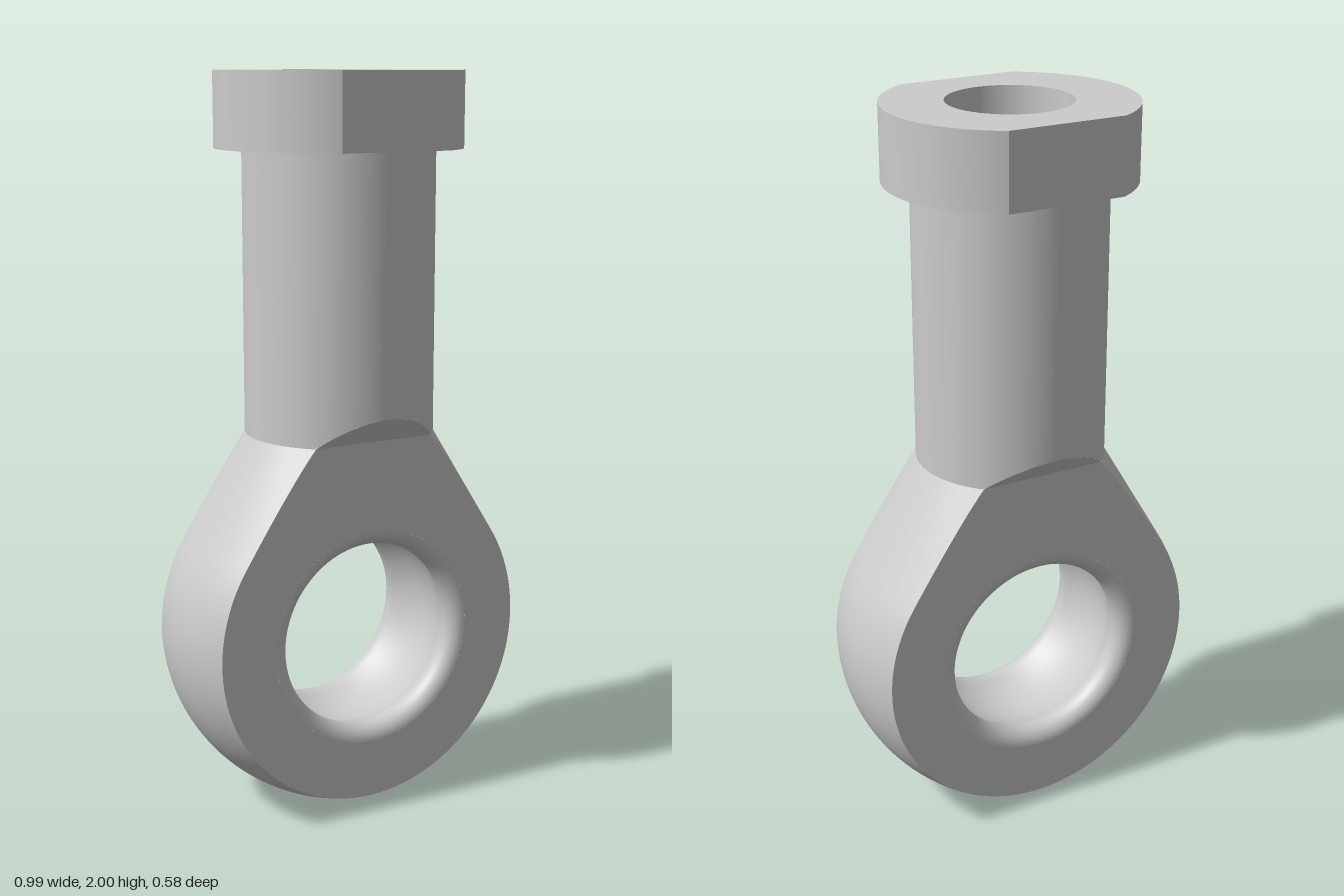
import * as THREE from 'three';
import { toCreasedNormals } from 'three/addons/utils/BufferGeometryUtils.js';

const EYE_Y = 0.495, EYE_R = 0.495, HALF = 0.185; // ball-shaped eye cut by two flat faces
const SHAFT_R = 0.257, NECK_Y = 1.04, HEAD_Y = 1.8, TOP_Y = 2;
const HEAD_R = 0.33, HEAD_FLAT = 0.288, SOCKET_R = 0.165, SOCKET_FLOOR = 1.1;
const BORE_R = 0.255, LIP = 0.045;

// Smooth surface from a rule; outward side is du x dv
function surface(nu, nv, rule) {
  const pos = [], index = [];
  for (let j = 0; j <= nv; j++)
    for (let i = 0; i <= nu; i++) pos.push(...rule(i / nu, j / nv));
  for (let j = 0; j < nv; j++)
    for (let i = 0; i < nu; i++) {
      const a = j * (nu + 1) + i, b = a + 1, c = a + nu + 1, d = c + 1;
      index.push(a, b, d, a, d, c);
    }
  const g = new THREE.BufferGeometry();
  g.setAttribute('position', new THREE.Float32BufferAttribute(pos, 3));
  g.setIndex(index);
  g.computeVertexNormals();
  return g;
}

// Half outline of the eye at depth z: t 0..0.75 is the ball, 0.75..1 the tangent cone up to the neck
const neckDist = Math.hypot(SHAFT_R, NECK_Y - EYE_Y);
const tangent = Math.atan2(NECK_Y - EYE_Y, SHAFT_R) - Math.acos(EYE_R / neckDist);
const tanY = EYE_Y + EYE_R * Math.sin(tangent), tanR = EYE_R * Math.cos(tangent);
function outline(t, z) {
  if (t <= 0.75) {
    const r = Math.sqrt(EYE_R * EYE_R - z * z);
    const end = Math.asin((tanY - EYE_Y) / r);
    const a = -Math.PI / 2 + (end + Math.PI / 2) * (t / 0.75);
    return [r * Math.cos(a), EYE_Y + r * Math.sin(a)];
  }
  const k = (t - 0.75) / 0.25;
  const r = THREE.MathUtils.lerp(tanR, SHAFT_R, k);
  return [Math.sqrt(r * r - z * z), THREE.MathUtils.lerp(tanY, NECK_Y, k)];
}

export function createModel() {
  const group = new THREE.Group();
  const material = new THREE.MeshStandardMaterial({ color: 0xcccccc });
  const add = (name, geometry) => {
    const mesh = new THREE.Mesh(geometry, material);
    mesh.name = name;
    group.add(mesh);
    return mesh;
  };

  // Outer wall of the eye
  add('eyeRim', surface(128, 16, (u, v) => {
    const z = (v * 2 - 1) * HALF, s = u * 2 - 1;
    const [x, y] = outline(Math.abs(s), z);
    return [Math.sign(s) * x, y, z];
  }));

  // Flat eye faces with the bore opening
  const facePoints = [];
  for (let i = -64; i <= 64; i++) {
    const [x, y] = outline(Math.abs(i) / 64, HALF);
    facePoints.push(new THREE.Vector2(Math.sign(i) * x, y));
  }
  const faceShape = new THREE.Shape(facePoints);
  faceShape.holes.push(new THREE.Path().absarc(0, EYE_Y, BORE_R + LIP, 0, Math.PI * 2, true));
  const faceGeometry = new THREE.ShapeGeometry(faceShape, 96).translate(0, 0, HALF);

  // Sloped shoulders between the faces and the round shaft
  const w = Math.acos(HALF / SHAFT_R), shoulderPoints = [];
  for (let i = 0; i <= 24; i++) {
    const a = w - 2 * w * i / 24;
    shoulderPoints.push(new THREE.Vector2(SHAFT_R * Math.sin(a), NECK_Y + SHAFT_R * Math.cos(a) - HALF));
  }
  const shoulderGeometry = new THREE.ShapeGeometry(new THREE.Shape(shoulderPoints));
  const p = shoulderGeometry.attributes.position;
  for (let i = 0; i < p.count; i++) p.setZ(i, p.getY(i) - NECK_Y + HALF);
  shoulderGeometry.computeVertexNormals();

  for (const [side, turn] of [['front', 0], ['back', Math.PI]]) {
    add(side + 'EyeFace', faceGeometry).rotation.y = turn;
    add(side + 'Shoulder', shoulderGeometry).rotation.y = turn;
  }

  // Bore: rounded lips flowing into a spherical seat
  const lipR = BORE_R + LIP, lipZ = HALF - LIP;
  const seatR = Math.hypot(lipR, lipZ) - LIP, seatA = Math.atan2(lipZ, lipR);
  const bore = [];
  for (let i = 0; i <= 12; i++) {
    const a = Math.PI / 2 + (Math.PI / 2 + seatA) * i / 12;
    bore.push(new THREE.Vector2(lipR + LIP * Math.cos(a), lipZ + LIP * Math.sin(a)));
  }
  for (let i = 1; i <= 8; i++) {
    const a = seatA * (1 - i / 8);
    bore.push(new THREE.Vector2(seatR * Math.cos(a), seatR * Math.sin(a)));
  }
  for (let i = bore.length - 2; i >= 0; i--) bore.push(new THREE.Vector2(bore[i].x, -bore[i].y));
  add('bore', new THREE.LatheGeometry(bore, 96).rotateX(Math.PI / 2).translate(0, EYE_Y, 0));

  // Shaft, its lower edge following the shoulders
  add('shaft', surface(128, 1, (u, v) => {
    const a = u * Math.PI * 2, z = SHAFT_R * Math.cos(a);
    const low = NECK_Y + Math.max(0, Math.abs(z) - HALF);
    return [SHAFT_R * Math.sin(a), THREE.MathUtils.lerp(low, HEAD_Y, v), z];
  }));

  // Head with two wrench flats and a round opening
  const f = Math.asin(HEAD_FLAT / HEAD_R);
  const headShape = new THREE.Shape()
    .absarc(0, 0, HEAD_R, -f, f, false)
    .absarc(0, 0, HEAD_R, Math.PI - f, Math.PI + f, false);
  headShape.holes.push(new THREE.Path().absarc(0, 0, SOCKET_R, 0, Math.PI * 2, true));
  const head = new THREE.ExtrudeGeometry(headShape, {
    depth: TOP_Y - HEAD_Y, bevelEnabled: false, curveSegments: 48,
  }).rotateX(-Math.PI / 2).translate(0, HEAD_Y, 0);
  add('head', toCreasedNormals(head, 0.5));

  // Blind socket continuing down inside the shaft
  const wall = [new THREE.Vector2(SOCKET_R, HEAD_Y), new THREE.Vector2(SOCKET_R, SOCKET_FLOOR)];
  add('socketWall', new THREE.LatheGeometry(wall, 48));
  add('socketFloor', new THREE.CircleGeometry(SOCKET_R, 48).rotateX(-Math.PI / 2).translate(0, SOCKET_FLOOR, 0));

  return group;
}
